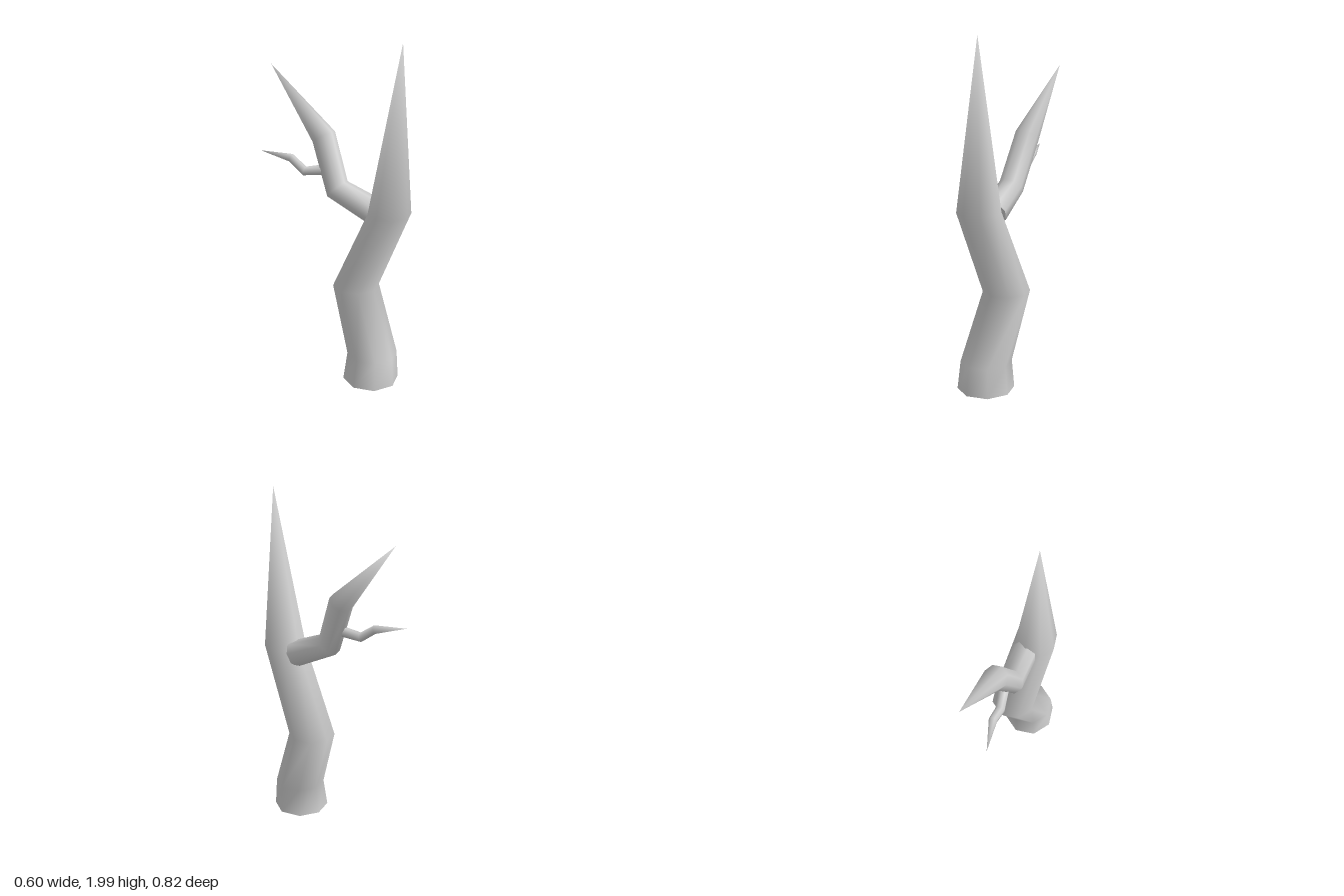
import * as THREE from 'three';

const UP = new THREE.Vector3(0, 1, 0);

// Tapered limb: rings around each joint of a bent path, closing in a sharp tip.
// joints: [x, y, z, radius]; upright keeps every ring level.
function limb(name, joints, tip, sides, upright) {
  const centres = [...joints, tip].map(j => new THREE.Vector3(j[0], j[1], j[2]));
  const pos = [], index = [];
  const ring = i => {
    const normal = new THREE.Vector3();
    for (const k of [i - 1, i]) {
      if (k >= 0) normal.add(centres[k + 1].clone().sub(centres[k]).normalize());
    }
    const q = new THREE.Quaternion().setFromUnitVectors(UP, upright ? UP : normal.normalize());
    for (let s = 0; s < sides; s++) {
      const a = (s + 0.5) / sides * Math.PI * 2, r = joints[i][3];
      const p = new THREE.Vector3(Math.cos(a) * r, 0, Math.sin(a) * r).applyQuaternion(q).add(centres[i]);
      pos.push(p.x, p.y, p.z);
    }
  };
  joints.forEach((_, i) => ring(i));

  // Side walls and pointed end
  const n = joints.length, tipIndex = n * sides;
  pos.push(...tip);
  for (let s = 0; s < sides; s++) {
    const t = (s + 1) % sides;
    for (let i = 0; i < n - 1; i++) {
      const a = i * sides + s, b = i * sides + t;
      index.push(a, a + sides, b, b, a + sides, b + sides);
    }
    index.push((n - 1) * sides + s, tipIndex, (n - 1) * sides + t);
  }

  // Flat cap with its own vertices so the rim stays sharp
  const cap = pos.length / 3;
  ring(0);
  for (let s = 1; s < sides - 1; s++) index.push(cap, cap + s, cap + s + 1);

  const geometry = new THREE.BufferGeometry();
  geometry.setAttribute('position', new THREE.Float32BufferAttribute(pos, 3));
  geometry.setIndex(index);
  geometry.computeVertexNormals();
  const mesh = new THREE.Mesh(geometry, new THREE.MeshStandardMaterial({ color: 0xcccccc }));
  mesh.name = name;
  return mesh;
}

export function createModel() {
  const tree = new THREE.Group();
  tree.name = 'bareTree';
  tree.add(
    limb('trunk', [
      [0.12, 0.008, 0.235, 0.163],
      [0.127, 0.175, 0.235, 0.146],
      [0.095, 0.56, 0.09, 0.135],
      [0.185, 1.06, 0.3, 0.122],
    ], [0.23, 2, 0.32], 8, true),
    limb('branch', [
      [0.157, 1.04, 0.2, 0.078],
      [0.01, 1.145, 0.015, 0.072],
      [-0.017, 1.425, -0.1, 0.07],
    ], [-0.195, 1.8, -0.41], 8, false),
    limb('twig', [
      [-0.03, 1.245, -0.055, 0.03],
      [-0.12, 1.225, -0.14, 0.027],
      [-0.17, 1.29, -0.217, 0.024],
    ], [-0.305, 1.32, -0.34], 8, false),
  );
  return tree;
}
